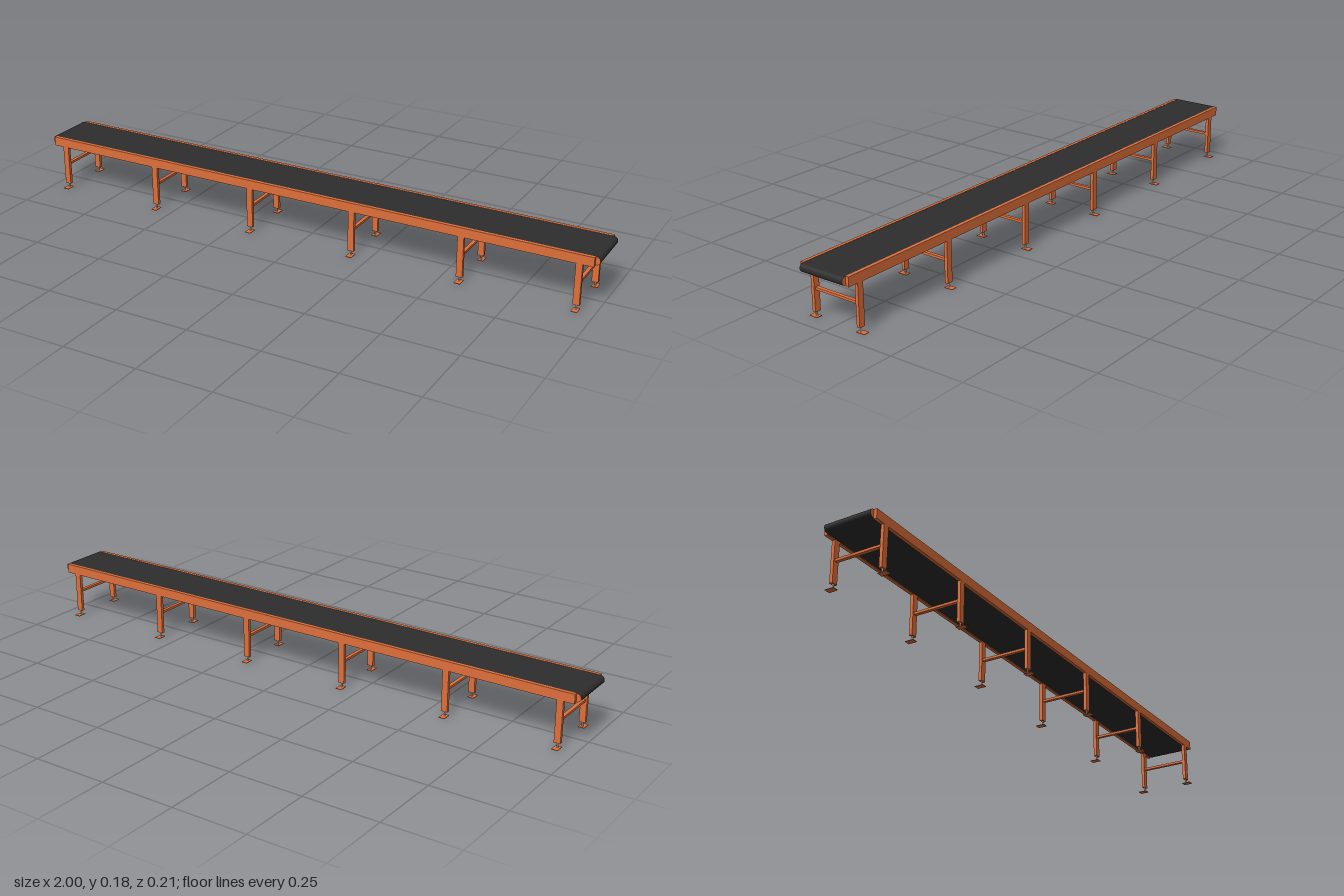
import * as THREE from 'three';

const ORANGE = new THREE.MeshStandardMaterial({ color: 0xe0703a });
const BLACK = new THREE.MeshStandardMaterial({ color: 0x2d2d2d });
const GREY = new THREE.MeshStandardMaterial({ color: 0xcccccc });

function add(parent, name, geometry, material, x = 0, y = 0, z = 0) {
  const mesh = new THREE.Mesh(geometry, material);
  mesh.name = name;
  mesh.position.set(x, y, z);
  parent.add(mesh);
  return mesh;
}

// Long slot outline with half-round ends, centred on the origin
function slotShape(halfLength, radius) {
  const s = new THREE.Shape();
  const c = halfLength - radius;
  s.moveTo(-c, -radius);
  s.lineTo(c, -radius);
  s.absarc(c, 0, radius, -Math.PI / 2, Math.PI / 2, false);
  s.lineTo(-c, radius);
  s.absarc(-c, 0, radius, Math.PI / 2, Math.PI * 1.5, false);
  return s;
}

export function createModel() {
  const model = new THREE.Group();
  model.name = 'conveyor';

  // Belt looped round the two end rollers; its sides show the frame colour
  const beltWidth = 0.161;
  const beltGeometry = new THREE.ExtrudeGeometry(slotShape(1, 0.0135), {
    depth: beltWidth, bevelEnabled: false, curveSegments: 16,
  });
  add(model, 'belt', beltGeometry, [ORANGE, BLACK], 0, 0.1693, -beltWidth / 2);

  // Side rails
  for (const side of [-1, 1]) {
    add(model, 'sideRail', new THREE.BoxGeometry(1.97, 0.031, 0.011), ORANGE, 0, 0.168, side * 0.0855);
  }

  // Six trestles: two legs, a cross bar and adjustable feet
  const legGeometry = new THREE.BoxGeometry(0.021, 0.137, 0.011);
  const barGeometry = new THREE.BoxGeometry(0.012, 0.008, 0.162);
  const stemGeometry = new THREE.CylinderGeometry(0.0027, 0.0027, 0.016, 12);
  const padGeometry = new THREE.BoxGeometry(0.02, 0.002, 0.03);
  for (let i = 0; i < 6; i++) {
    const trestle = new THREE.Group();
    trestle.name = 'trestle';
    trestle.position.x = -0.94 + i * 0.376;
    add(trestle, 'crossBar', barGeometry, ORANGE, 0, 0.09, 0);
    for (const side of [-1, 1]) {
      add(trestle, 'leg', legGeometry, ORANGE, 0, 0.0855, side * 0.0855);
      add(trestle, 'footStem', stemGeometry, GREY, 0, 0.0095, side * 0.0855);
      add(trestle, 'footPad', padGeometry, ORANGE, 0, 0.001, side * 0.091);
    }
    model.add(trestle);
  }
  return model;
}
